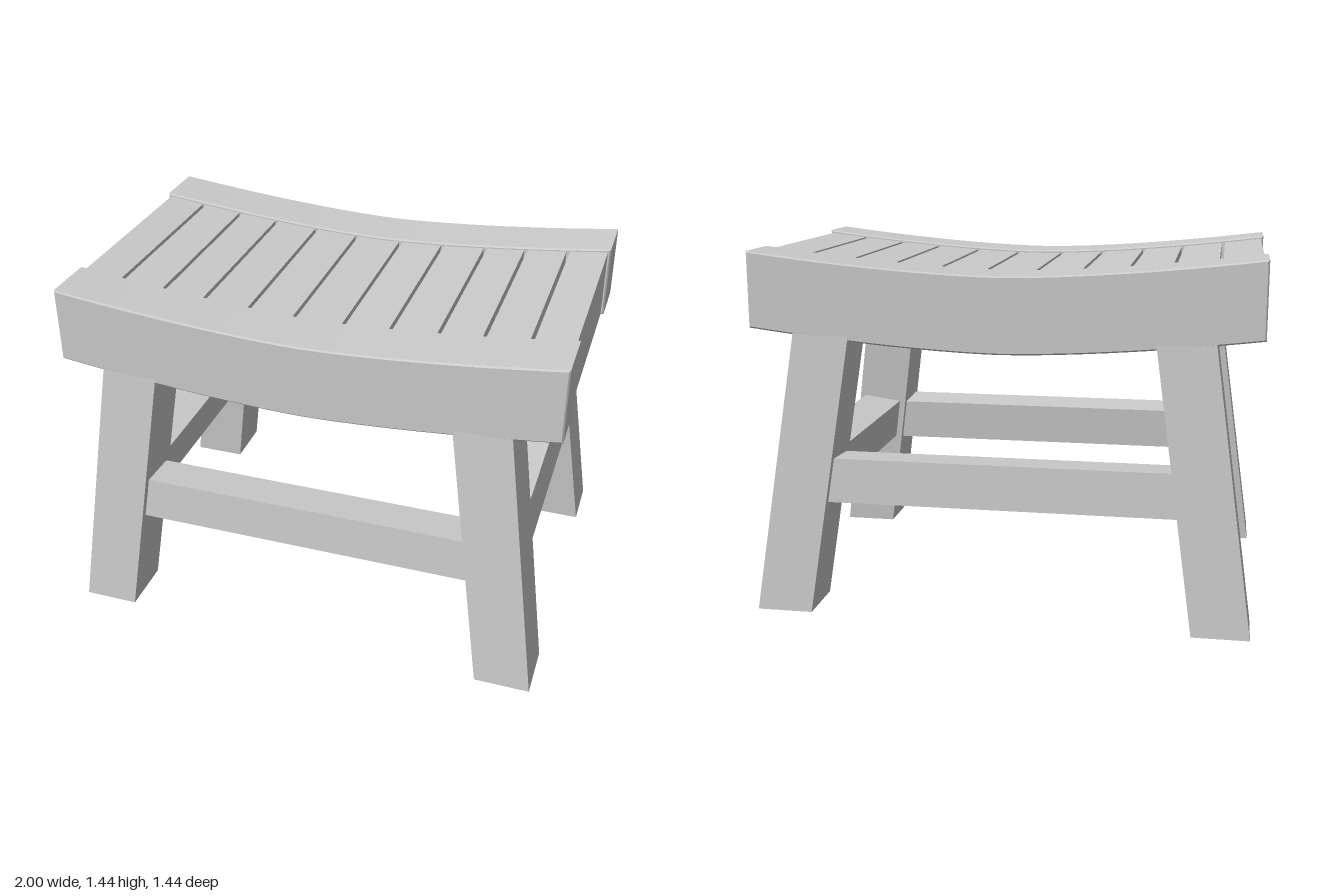
import * as THREE from 'three';
import { toCreasedNormals } from 'three/addons/utils/BufferGeometryUtils.js';

const material = new THREE.MeshStandardMaterial({ color: 0xcccccc });

// Height of the saddle curve above its lowest point
const sag = (x) => 0.08 * Math.pow(Math.abs(x), 1.6);

// Board between x0 and x1 whose top and bottom follow the saddle curve
function curvedBoard(name, x0, x1, bottom, top, depth, z, segments) {
  const b = 0.006;
  const lower = [], upper = [];
  for (let i = 0; i <= segments; i++) {
    const x = THREE.MathUtils.lerp(x0 + b, x1 - b, i / segments);
    lower.push(new THREE.Vector2(x, bottom + b + sag(x)));
    upper.unshift(new THREE.Vector2(x, top - b + sag(x)));
  }
  const geometry = new THREE.ExtrudeGeometry(new THREE.Shape([...lower, ...upper]), {
    depth: depth - 2 * b, bevelEnabled: true, bevelSize: b, bevelThickness: b, bevelSegments: 1,
  });
  geometry.translate(0, 0, z - depth / 2 + b);
  const mesh = new THREE.Mesh(toCreasedNormals(geometry, 0.3), material);
  mesh.name = name;
  return mesh;
}

// Splay of the legs: inward travel per unit of height
const SPLAY_X = 0.145, SPLAY_Z = 0.076;
const legX = (y) => 0.872 - SPLAY_X * y;
const legZ = (y) => 0.605 - SPLAY_Z * y;

// Leg sheared inward, so that its foot stays flat on the floor
function leg(sx, sz) {
  const height = 1.14;
  const geometry = new THREE.BoxGeometry(0.225, height, 0.23);
  geometry.translate(0, height / 2, 0);
  const p = geometry.attributes.position;
  for (let i = 0; i < p.count; i++) {
    const y = p.getY(i);
    p.setX(i, p.getX(i) + sx * legX(y));
    p.setZ(i, p.getZ(i) + sz * legZ(y));
  }
  geometry.computeVertexNormals();
  const mesh = new THREE.Mesh(geometry, material);
  mesh.name = 'leg';
  return mesh;
}

function stretcher(name, w, h, d, x, y, z) {
  const mesh = new THREE.Mesh(new THREE.BoxGeometry(w, h, d), material);
  mesh.name = name;
  mesh.position.set(x, y, z);
  return mesh;
}

export function createModel() {
  const stool = new THREE.Group();
  stool.name = 'saddleStool';

  for (const s of [1, -1]) {
    // Long curved seat rails at front and back
    stool.add(curvedBoard(s > 0 ? 'frontRail' : 'backRail', -1, 1, 1.062, 1.363, 0.23, s * 0.52, 24));

    // Legs
    for (const t of [1, -1]) stool.add(leg(s, t));

    // Stretchers, tilted with the legs
    const long = stretcher('longStretcher', 1.5, 0.178, 0.17, 0, 0.531, s * legZ(0.531));
    long.rotation.x = -s * Math.atan(SPLAY_Z);
    const side = stretcher('sideStretcher', 0.17, 0.178, 1.0, s * legX(0.545), 0.545, 0);
    side.rotation.z = s * Math.atan(SPLAY_X);
    stool.add(long, side);
  }

  // Seat slats between the rails; the outermost are deep end boards
  const gaps = [-0.995, -0.825, -0.648, -0.475, -0.287, -0.1, 0.1, 0.287, 0.475, 0.648, 0.825, 0.995];
  for (let i = 0; i < gaps.length - 1; i++) {
    const end = i === 0 || i === gaps.length - 2;
    const x0 = gaps[i] + 0.007, x1 = gaps[i + 1] - 0.007;
    stool.add(curvedBoard(end ? 'endBoard' : 'seatSlat', x0, x1, end ? 1.064 : 1.27, 1.352, 0.83, 0, 3));
  }
  return stool;
}
